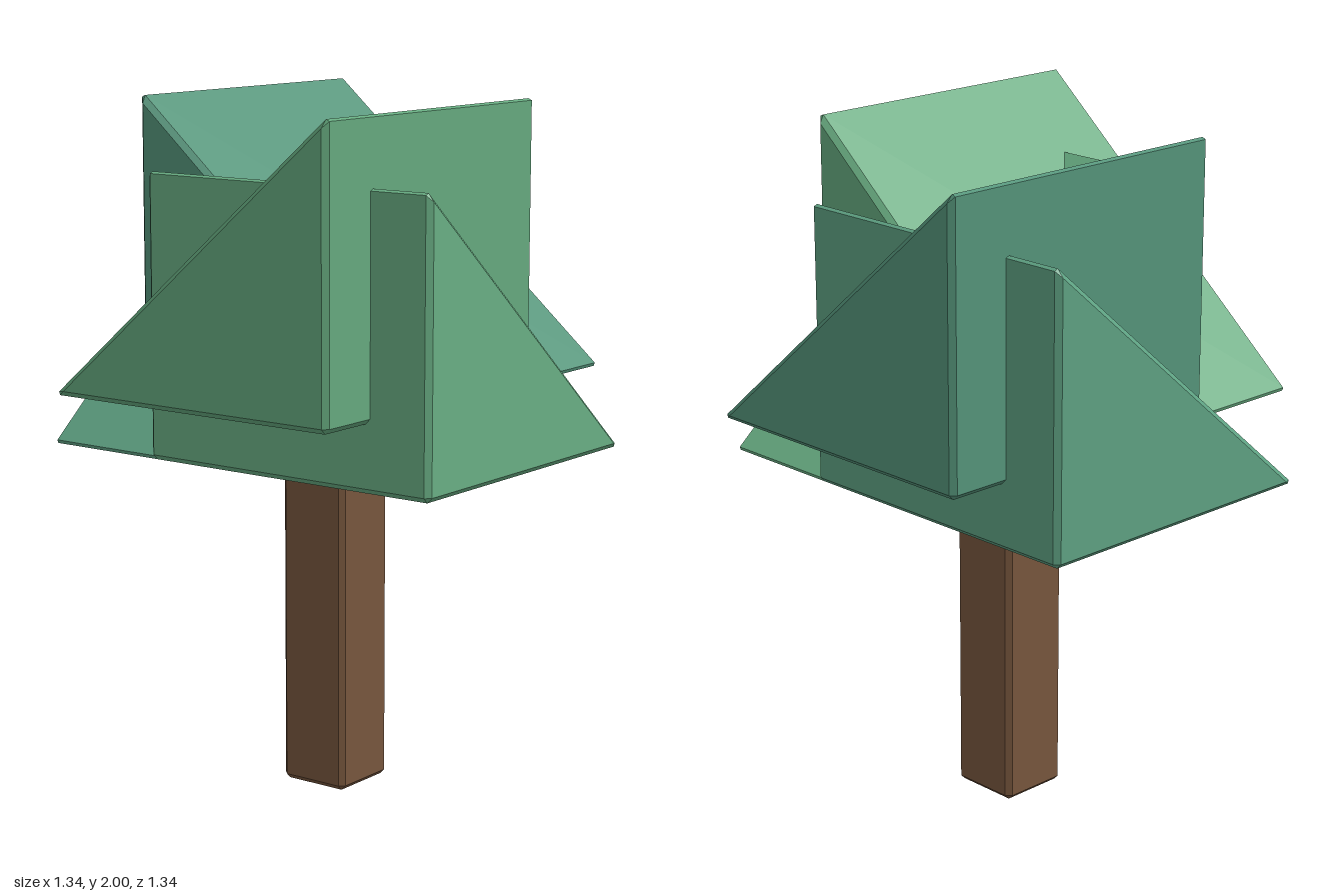
import * as THREE from 'three';
import { ConvexGeometry } from 'three/addons/geometries/ConvexGeometry.js';

const BEVEL = 0.015;

// Prism along z with every edge chamfered; profile is a convex list of [x, y]
function chamferedPrism(profile, depth) {
  const corners = profile.map(([x, y]) => new THREE.Vector2(x, y));
  const n = corners.length;
  const points = [];
  corners.forEach((corner, i) => {
    const toNext = corners[(i + 1) % n].clone().sub(corner).normalize();
    const toPrev = corners[(i + n - 1) % n].clone().sub(corner).normalize();
    const sine = Math.abs(toNext.cross(toPrev));
    const inset = corner.clone().addScaledVector(toNext.clone().add(toPrev), BEVEL / sine);
    const a = corner.clone().addScaledVector(toNext, BEVEL);
    const b = corner.clone().addScaledVector(toPrev, BEVEL);
    for (const side of [-1, 1]) {
      const end = side * depth / 2;
      points.push(new THREE.Vector3(inset.x, inset.y, end));
      for (const p of [a, b]) points.push(new THREE.Vector3(p.x, p.y, end - side * BEVEL));
    }
  });
  return new ConvexGeometry(points);
}

function part(name, geometry, color) {
  const mesh = new THREE.Mesh(geometry, new THREE.MeshStandardMaterial({ color, flatShading: true }));
  mesh.name = name;
  return mesh;
}

export function createModel() {
  const group = new THREE.Group();
  group.name = 'tree';

  // Square trunk
  const trunkProfile = [[-0.11, 0], [0.11, 0], [0.11, 1.01], [-0.11, 1.01]];
  group.add(part('trunk', chamferedPrism(trunkProfile, 0.22), 0x78573e));

  // Four interlocking foliage wedges: name, base height, sideways shift, turn, colour
  const wedges = [
    ['upperFrontFoliage', 1.19, 0.19, 0, 0x66aa7f],
    ['upperBackFoliage', 1.19, 0.19, Math.PI, 0x55957b],
    ['lowerFrontFoliage', 1.0, -0.19, -Math.PI / 2, 0x6ab085],
    ['lowerBackFoliage', 1.0, -0.19, Math.PI / 2, 0x5fa283],
  ];
  const ramp = chamferedPrism([[-0.48, 0], [0.48, 0], [0.48, 0.82]], 0.96);
  for (const [name, base, shift, turn, color] of wedges) {
    const wedge = part(name, ramp.clone().translate(0, 0, shift), color);
    wedge.position.y = base;
    wedge.rotation.y = turn;
    group.add(wedge);
  }
  return group;
}
